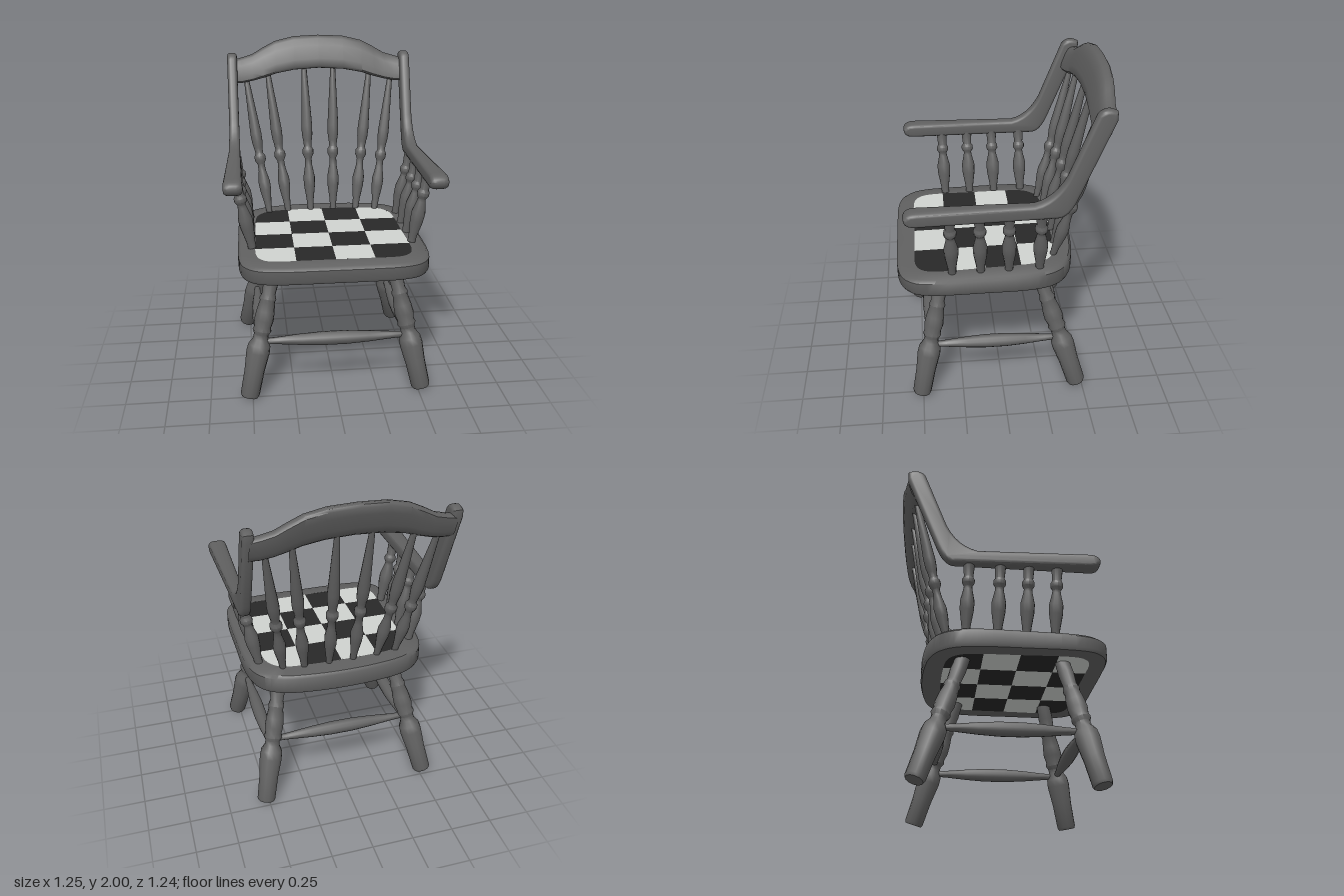
import * as THREE from 'three';
import { mergeGeometries, toCreasedNormals } from 'three/addons/utils/BufferGeometryUtils.js';

const material = (name, color) => {
  const m = new THREE.MeshStandardMaterial({ color, side: THREE.DoubleSide });
  m.name = name;
  return m;
};

// Skin joining a row of closed rings of points
function loft(rings) {
  const n = rings[0].length, index = [];
  for (let r = 0; r < rings.length - 1; r++) {
    for (let i = 0; i < n; i++) {
      const a = r * n + i, b = r * n + (i + 1) % n;
      index.push(a, b, b + n, a, b + n, a + n);
    }
  }
  const g = new THREE.BufferGeometry().setFromPoints(rings.flat());
  g.setIndex(index);
  return toCreasedNormals(g, 0.8);
}

// Mirrors half an outline, listed from front middle to back middle, and rounds it
function outline(half) {
  const pts = [...half, ...half.slice(1, -1).reverse().map(([x, z]) => [-x, z])];
  const curve = new THREE.CatmullRomCurve3(pts.map(([x, z]) => new THREE.Vector3(x, 0, z)), true);
  const n = pts.length * 3;
  return Array.from({ length: n }, (_, i) => curve.getPoint(i / n)).map(p => [p.x, p.z]);
}

// Keeps the part of a polygon where sign * p[axis] <= sign * limit
function clip(poly, axis, limit, sign) {
  const out = [];
  poly.forEach((p, i) => {
    const q = poly[(i + 1) % poly.length];
    const dp = sign * (limit - p[axis]), dq = sign * (limit - q[axis]);
    if (dp >= 0) out.push(p);
    if (dp * dq < 0) {
      const t = dp / (dp - dq);
      out.push([p[0] + (q[0] - p[0]) * t, p[1] + (q[1] - p[1]) * t]);
    }
  });
  return out;
}

export function createModel() {
  const chair = new THREE.Group();
  chair.name = 'armchair';
  const wood = material('grey wood', 0x606060);
  const light = material('light check', 0xcfd2cf);
  const dark = material('dark check', 0x282828);

  const add = (name, geometry, mat = wood) => {
    const mesh = new THREE.Mesh(geometry, mat);
    mesh.name = name;
    chair.add(mesh);
    return mesh;
  };

  // Turned piece from a to b; the profile holds [radius, fraction of length]
  const turned = (name, profile, a, b) => {
    const from = new THREE.Vector3(...a), axis = new THREE.Vector3(...b).sub(from);
    const len = axis.length();
    const pts = profile.map(([r, t]) => new THREE.Vector2(r, t * len));
    const mesh = add(name, toCreasedNormals(new THREE.LatheGeometry(pts, 12), 0.7));
    mesh.position.copy(from);
    mesh.quaternion.setFromUnitVectors(new THREE.Vector3(0, 1, 0), axis.normalize());
  };

  // Seat frame: flat lower border, outer wall, rounded edge and top border rising to the back
  const tilt = 0.018, seatTop = 0.883, seatBottom = 0.77;
  const outer = outline([[0, 0.617], [0.2, 0.617], [0.37, 0.61], [0.47, 0.58], [0.53, 0.515], [0.555, 0.4],
    [0.557, 0.12], [0.552, -0.15], [0.525, -0.28], [0.47, -0.36], [0.37, -0.415], [0.2, -0.445], [0, -0.455]]);
  const inner = outline([[0, 0.51], [0.2, 0.51], [0.34, 0.51], [0.4, 0.495], [0.44, 0.455], [0.457, 0.38],
    [0.452, 0.12], [0.445, -0.15], [0.43, -0.23], [0.39, -0.285], [0.33, -0.315], [0.18, -0.33], [0, -0.335]]);
  const ring = (pts, s, y, k = tilt) => pts.map(([x, z]) => new THREE.Vector3(x * s, y - k * z, z * s));
  add('seatFrame', loft([ring(inner, 1, seatBottom, 0), ring(outer, 0.985, seatBottom, 0),
    ring(outer, 1, 0.788, 0), ring(outer, 1, 0.863), ring(outer, 0.97, 0.88), ring(inner, 1, seatTop)]));

  // Checked seat panel, four squares by four, showing above and below
  const xs = [-0.5, -0.23, -0.003, 0.223, 0.5], zs = [-0.4, -0.11, 0.1, 0.315, 0.6];
  const squares = [[], []];
  for (let i = 0; i < 4; i++) {
    for (let j = 0; j < 4; j++) {
      let cell = clip(inner, 0, xs[i], -1);
      cell = clip(cell, 0, xs[i + 1], 1);
      cell = clip(cell, 1, zs[j], -1);
      cell = clip(cell, 1, zs[j + 1], 1);
      const shape = new THREE.Shape(cell.map(([x, z]) => new THREE.Vector2(x, -z)));
      const flat = new THREE.ShapeGeometry(shape).rotateX(-Math.PI / 2);
      squares[(i + j) % 2].push(flat.clone().rotateX(Math.atan(tilt)).translate(0, seatTop, 0),
        flat.translate(0, seatBottom, 0));
    }
  }
  add('darkSquares', mergeGeometries(squares[0]), dark);
  add('lightSquares', mergeGeometries(squares[1]), light);

  // Profiles of the turned parts
  const legProfile = [[0, 0], [0.05, 0], [0.057, 0.02], [0.06, 0.2], [0.07, 0.345], [0.066, 0.4],
    [0.046, 0.445], [0.044, 0.48], [0.056, 0.51], [0.05, 0.54], [0.058, 0.59], [0.054, 0.66], [0.045, 0.73],
    [0.05, 0.755], [0.04, 0.79], [0.046, 0.89], [0.042, 1], [0, 1]];
  const stretcherProfile = [[0.016, 0], [0.022, 0.12], [0.034, 0.28], [0.041, 0.42], [0.041, 0.58],
    [0.034, 0.72], [0.022, 0.88], [0.016, 1]];
  const backProfile = [[0.018, 0], [0.024, 0.08], [0.036, 0.17], [0.038, 0.23], [0.024, 0.31], [0.022, 0.36],
    [0.036, 0.39], [0.036, 0.42], [0.024, 0.44], [0.028, 0.48], [0.034, 0.52], [0.036, 0.58], [0.026, 0.78],
    [0.015, 1]];
  const armProfile = [[0.024, 0], [0.026, 0.1], [0.04, 0.32], [0.042, 0.45], [0.026, 0.62], [0.024, 0.66],
    [0.037, 0.71], [0.037, 0.76], [0.027, 0.8], [0.034, 1]];

  // Arm and back post in one bent piece, wider towards the front
  const side = new THREE.Shape();
  side.moveTo(0.49, 1.285);
  side.quadraticCurveTo(0.54, 1.285, 0.54, 1.32);
  side.quadraticCurveTo(0.53, 1.345, 0.48, 1.345);
  side.lineTo(-0.16, 1.343);
  side.quadraticCurveTo(-0.28, 1.37, -0.35, 1.51);
  side.lineTo(-0.487, 1.86);
  side.quadraticCurveTo(-0.52, 1.9, -0.565, 1.875);
  side.lineTo(-0.565, 1.84);
  side.lineTo(-0.38, 1.38);
  side.quadraticCurveTo(-0.34, 1.285, -0.29, 1.285);
  side.closePath();
  const armGeometry = s => {
    const g = new THREE.ExtrudeGeometry(side, { depth: 0.022, curveSegments: 6, bevelSize: 0.02,
      bevelOffset: -0.006, bevelThickness: 0.02, bevelSegments: 3 });
    g.translate(0, 0, -0.011).rotateY(-Math.PI / 2);
    const p = g.attributes.position;
    for (let i = 0; i < p.count; i++) {
      const t = THREE.MathUtils.clamp((p.getZ(i) + 0.35) / 0.85, 0, 1);
      p.setX(i, s * (0.56 + 0.011 * t) + p.getX(i) * (1 + 0.7 * t));
    }
    return toCreasedNormals(g, 0.7);
  };

  for (const [s, label] of [[1, 'left'], [-1, 'right']]) {
    add(label + 'ArmAndPost', armGeometry(s));
    turned(label + 'FrontLeg', legProfile, [s * 0.52, 0.012, 0.51], [s * 0.352, 0.782, 0.351]);
    turned(label + 'BackLeg', legProfile, [s * 0.52, 0.018, -0.465], [s * 0.352, 0.782, -0.22]);
    turned(label + 'SideStretcher', stretcherProfile, [s * 0.447, 0.33, 0.44], [s * 0.447, 0.33, -0.36]);
    for (const z of [0.3, 0.135, -0.03, -0.21]) {
      turned(label + 'ArmSpindle', armProfile, [s * 0.475, 0.88, z - 0.005], [s * 0.555, 1.29, z + 0.005]);
    }
    // Back spindles: bottom x, bottom z, top x, top y, top z
    for (const [x0, z0, x1, y1, z1] of [[0.075, -0.335, 0.095, 1.82, -0.545],
      [0.225, -0.33, 0.335, 1.79, -0.54], [0.35, -0.31, 0.475, 1.75, -0.525]]) {
      turned(label + 'BackSpindle', backProfile, [s * x0, 0.88, z0], [s * x1, y1, z1]);
    }
  }
  turned('frontStretcher', stretcherProfile, [-0.447, 0.337, 0.44], [0.447, 0.337, 0.44]);
  turned('backStretcher', stretcherProfile, [-0.437, 0.39, -0.345], [0.437, 0.39, -0.345]);

  // Crest rail: x, bottom y, top y, curved back and leaning with the posts
  const half = [[0, 1.797, 2], [0.16, 1.788, 1.993], [0.28, 1.766, 1.965], [0.36, 1.74, 1.925],
    [0.43, 1.722, 1.885], [0.5, 1.71, 1.865], [0.56, 1.71, 1.85]];
  const stations = [...half.slice(1).reverse().map(([x, b, t]) => [-x, b, t]), ...half];
  const section = [[1, 0], [0.96, 0.5], [0.82, 0.85], [0.4, 1], [-0.4, 1], [-0.82, 0.85], [-0.96, 0.5],
    [-1, 0], [-0.96, -0.5], [-0.82, -0.85], [-0.4, -1], [0.4, -1], [0.82, -0.85], [0.96, -0.5]];
  add('crestRail', loft(stations.map(([x, b, t]) => {
    const mid = (b + t) / 2, h = (t - b) / 2;
    const zMid = -0.558 + 0.035 * (x / 0.56) ** 2;
    return section.map(([v, w]) => new THREE.Vector3(x, mid + v * h, zMid - 0.36 * v * h + w * 0.04));
  })));

  return chair;
}
